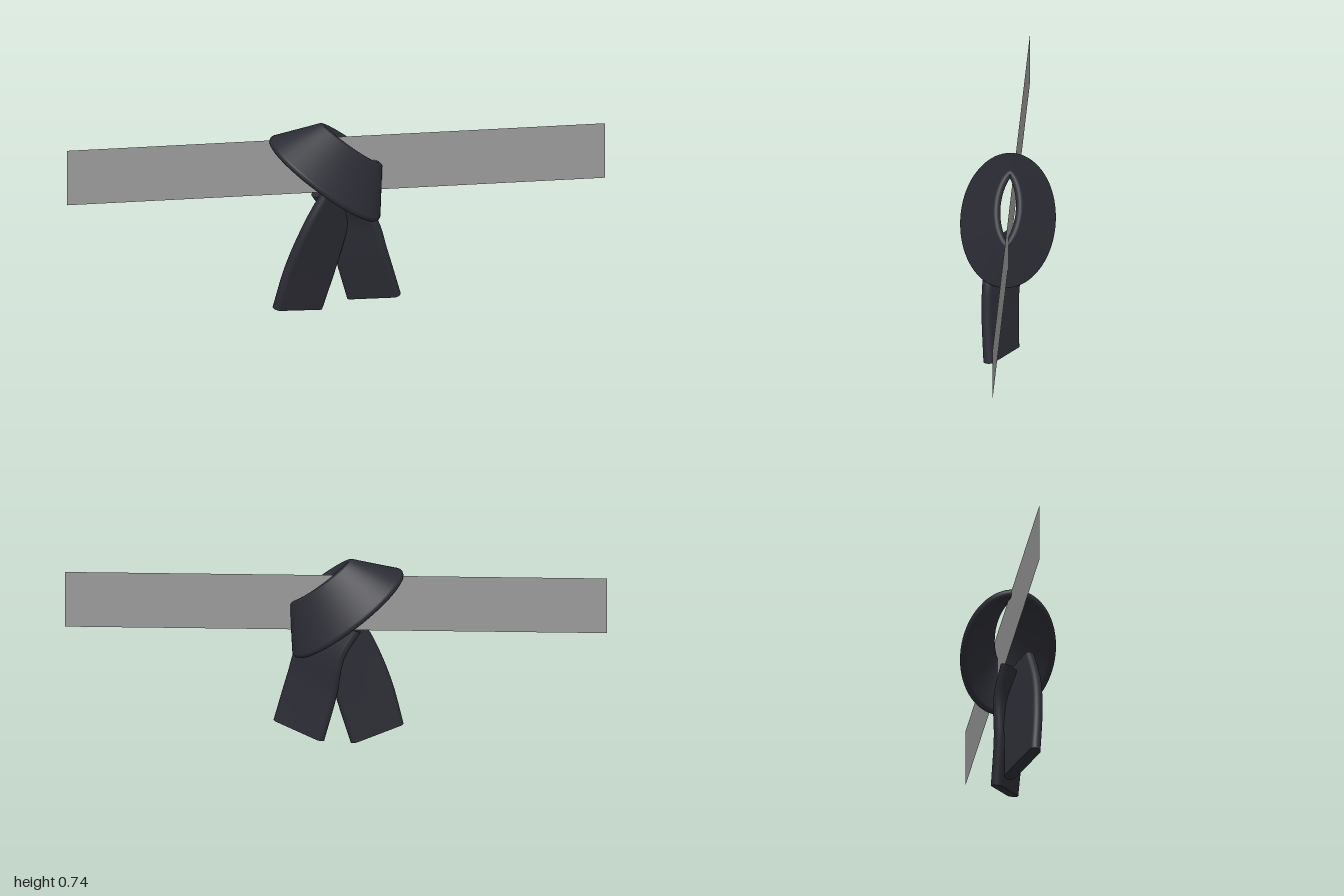
import * as THREE from 'three';

const V = (x, y, z) => new THREE.Vector3(x, y, z);

// Flat strip section with round edges, as [along width, along thickness] pairs
function stripSection(count, halfWidth, halfThick) {
  return Array.from({ length: count }, (_, j) => {
    const a = ((j + 0.5) / count) * Math.PI * 2, c = Math.cos(a);
    return [Math.sign(c) * (halfWidth - halfThick) + halfThick * c, halfThick * Math.sin(a)];
  });
}

// Skins a list of closed sections; either joins the ends into a ring or caps them
function loft(rows, ring) {
  const n = rows[0].length, m = rows.length;
  const pos = rows.flat().flatMap(p => p.toArray()), index = [];
  for (let i = 0; i < (ring ? m : m - 1); i++) {
    const k = (i + 1) % m;
    for (let j = 0; j < n; j++) {
      const l = (j + 1) % n;
      index.push(i * n + j, i * n + l, k * n + j, i * n + l, k * n + l, k * n + j);
    }
  }
  if (!ring) [0, m - 1].forEach(r => {
    const base = pos.length / 3;
    rows[r].forEach(p => pos.push(...p.toArray()));
    for (let j = 1; j < n - 1; j++) {
      index.push(base, base + (r ? j : j + 1), base + (r ? j + 1 : j));
    }
  });
  const g = new THREE.BufferGeometry();
  g.setAttribute('position', new THREE.Float32BufferAttribute(pos, 3));
  g.setIndex(index);
  g.computeVertexNormals();
  return g;
}

// Hanging end: a thick strip between an outer and an inner edge curve
function tailGeometry(outer, inner) {
  const a = new THREE.CatmullRomCurve3(outer), b = new THREE.CatmullRomCurve3(inner);
  const rows = [];
  for (let i = 0; i <= 20; i++) {
    const p = a.getPoint(i / 20), q = b.getPoint(i / 20);
    const mid = p.clone().lerp(q, 0.5);
    const w = q.clone().sub(p);
    const half = w.length() / 2;
    w.normalize();
    const t = a.getTangent(i / 20).add(b.getTangent(i / 20));
    const nrm = t.cross(w).normalize();
    rows.push(stripSection(24, half, 0.021).map(([x, y]) =>
      mid.clone().addScaledVector(w, x).addScaledVector(nrm, y)));
  }
  return loft(rows, false);
}

// Knot: a tilted flaring band, wide open below and pinched to a slit above
function knotGeometry() {
  const u = V(0.78, -0.625, 0), rows = [], steps = 72;
  for (let i = 0; i < steps; i++) {
    const a = (i / steps) * Math.PI * 2, c = Math.cos(a), s = Math.sin(a);
    const wide = V(-0.045, 0.525, 0).addScaledVector(u, 0.245 * c);
    wide.z += 0.163 * s;
    const slit = V(0.05, 0.648, -0.007).addScaledVector(u, 0.135 * c);
    slit.z += 0.042 * s * Math.sqrt(Math.abs(s));
    const around = u.clone().multiplyScalar(-0.245 * s).add(V(0, 0, 0.163 * c));
    const p = slit.clone().sub(wide);
    const half = p.length() / 2 + 0.012;
    p.normalize();
    const out = p.clone().cross(around).normalize();
    const mid = wide.clone().lerp(slit, 0.5);
    // section runs from the outside face towards the slit
    rows.push(stripSection(28, half, 0.016).map(([x, y]) =>
      mid.clone().addScaledVector(p, x).addScaledVector(out, -y)));
  }
  return loft(rows, true);
}

export function createModel() {
  const cloth = new THREE.MeshStandardMaterial({ color: 0x2b2c34 });
  cloth.name = 'dark cloth';
  const band = new THREE.MeshStandardMaterial({ color: 0x999999, side: THREE.DoubleSide });
  band.name = 'grey band';

  const model = new THREE.Group();
  model.name = 'knottedBelt';
  const add = (name, geometry, material) => {
    const mesh = new THREE.Mesh(geometry, material);
    mesh.name = name;
    model.add(mesh);
    return mesh;
  };

  // Flat waist band
  add('waistBand', new THREE.PlaneGeometry(2, 0.22), band).position.set(0, 0.575, -0.015);

  add('knot', knotGeometry(), cloth);

  // Two hanging ends, from the bottom up into the knot
  add('rightTail', tailGeometry(
    [V(-0.245, 0.05, 0.083), V(-0.2, 0.22, 0.097), V(-0.13, 0.39, 0.103), V(-0.05, 0.53, 0.09)],
    [V(-0.055, 0.006, -0.005), V(-0.005, 0.17, 0), V(0.03, 0.3, 0), V(0.06, 0.45, 0)]), cloth);
  add('leftTail', tailGeometry(
    [V(0.23, 0.07, 0.062), V(0.18, 0.25, 0.073), V(0.14, 0.38, 0.073), V(0.06, 0.48, 0.06)],
    [V(0.045, 0.027, -0.038), V(0, 0.2, -0.034), V(-0.03, 0.36, -0.04), V(-0.09, 0.46, -0.02)]), cloth);

  return model;
}
